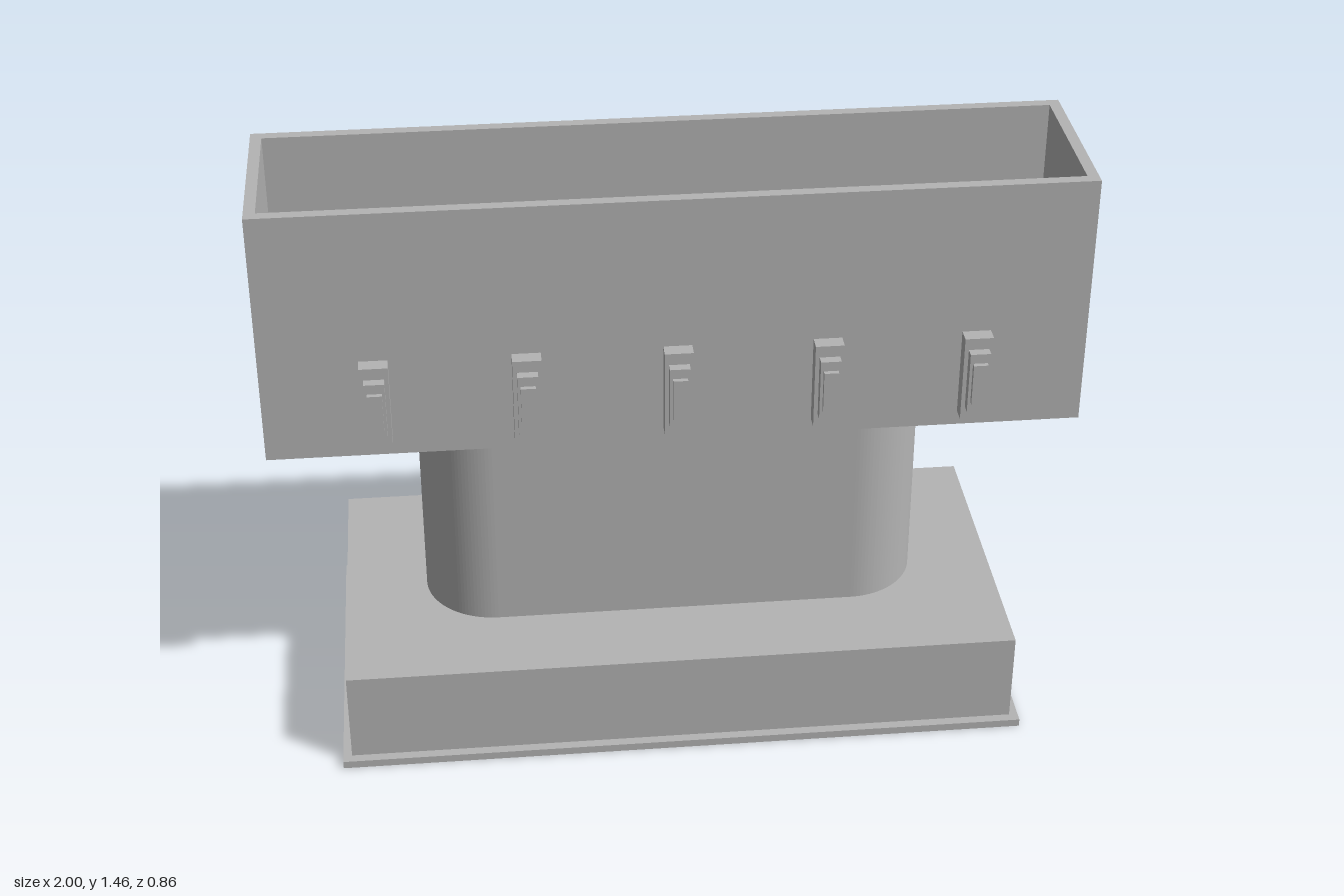
import * as THREE from 'three';

const stone = new THREE.MeshStandardMaterial({ color: 0xb4b4b4 });
stone.name = 'plain grey';

// Box resting on y0, reaching y1, centred on x and z
function block(name, width, y0, y1, depth, x = 0, z = 0) {
  const mesh = new THREE.Mesh(new THREE.BoxGeometry(width, y1 - y0, depth), stone);
  mesh.name = name;
  mesh.position.set(x, (y0 + y1) / 2, z);
  return mesh;
}

// Upright prism of a plan outline
function prism(name, shape, y0, y1) {
  const geometry = new THREE.ExtrudeGeometry(shape, { depth: y1 - y0, bevelEnabled: false, curveSegments: 32 });
  geometry.rotateX(-Math.PI / 2);
  const mesh = new THREE.Mesh(geometry, stone);
  mesh.name = name;
  mesh.position.y = y0;
  return mesh;
}

function rectangle(path, hx, hz) {
  return path.moveTo(-hx, -hz).lineTo(hx, -hz).lineTo(hx, hz).lineTo(-hx, hz).closePath();
}

// Stepped boss standing out from a long wall of the trough
function makeBoss(x, side) {
  const boss = new THREE.Group();
  boss.name = 'wallBoss';
  const steps = [
    ['bossPlate', 0.07, 0.84, 1.065, 0.225, 0.264],
    ['bossFrame', 0.05, 0.875, 1.035, 0.264, 0.288],
    ['bossCap', 0.036, 0.902, 1.01, 0.288, 0.3],
  ];
  for (const [name, width, y0, y1, z0, z1] of steps) {
    boss.add(block(name, width, y0, y1, z1 - z0, x, side * (z0 + z1) / 2));
  }
  return boss;
}

export function createModel() {
  const model = new THREE.Group();
  model.name = 'pedestalTrough';

  // Stepped base
  model.add(block('footPlate', 1.73, 0, 0.02, 0.86));
  model.add(block('base', 1.686, 0.02, 0.258, 0.812));

  // Column with half-round ends
  const r = 0.18, c = 0.635 - r;
  const plan = new THREE.Shape();
  plan.moveTo(-c, -r);
  plan.lineTo(c, -r);
  plan.absarc(c, 0, r, -Math.PI / 2, Math.PI / 2, false);
  plan.lineTo(-c, r);
  plan.absarc(-c, 0, r, Math.PI / 2, Math.PI * 1.5, false);
  model.add(prism('column', plan, 0.258, 0.802));

  // Open trough: floor and four walls
  model.add(block('troughFloor', 2, 0.802, 0.83, 0.452));
  const walls = rectangle(new THREE.Shape(), 1, 0.226);
  walls.holes.push(rectangle(new THREE.Path(), 0.972, 0.198));
  model.add(prism('troughWalls', walls, 0.83, 1.456));

  // Drain plates on the trough floor
  for (const x of [-0.59, 0.59]) model.add(block('drainPlate', 0.105, 0.83, 0.838, 0.166, x));

  // Five bosses along the front and the back
  for (const side of [1, -1]) {
    for (let i = -2; i <= 2; i++) model.add(makeBoss(i * 0.3635, side));
  }
  return model;
}
